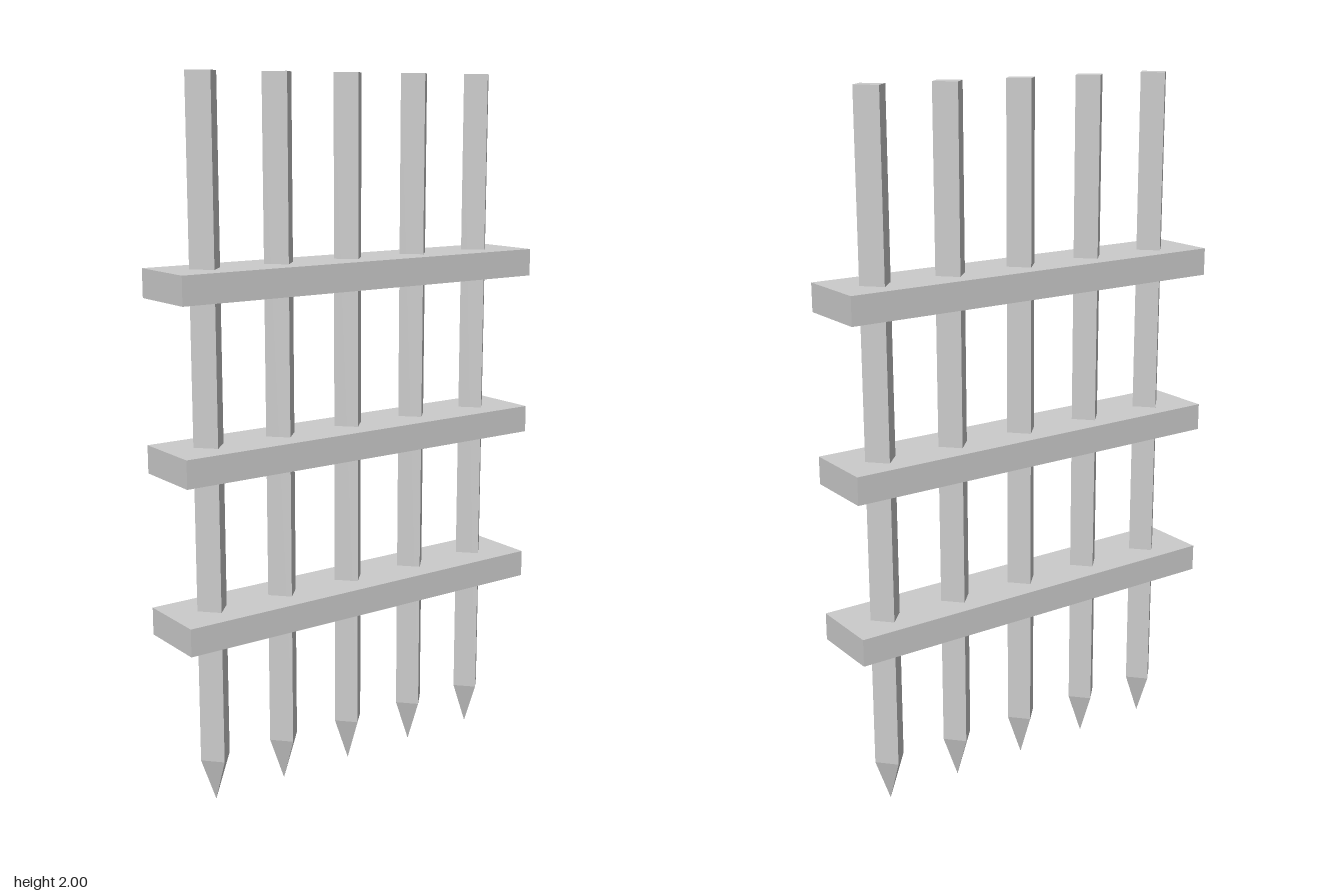
import * as THREE from 'three';

export function createModel() {
  const model = new THREE.Group();
  model.name = 'spikedGrate';
  const material = new THREE.MeshStandardMaterial({ color: 0xcccccc, flatShading: true });

  // Vertical bars: four-sided, corner facing forward, pointed at the foot
  const profile = [[0, 0], [0.05, 0.13], [0.05, 2], [0, 2]].map(([r, y]) => new THREE.Vector2(r, y));
  const barGeometry = new THREE.LatheGeometry(profile, 4).toNonIndexed();
  barGeometry.scale(1, 1, 0.93);
  barGeometry.computeVertexNormals();
  for (let i = -2; i <= 2; i++) {
    const bar = new THREE.Mesh(barGeometry, material);
    bar.name = `spikedBar${i + 3}`;
    bar.position.set(-0.007, 0, i * 0.229 - 0.003);
    model.add(bar);
  }

  // Flat horizontal crossbars the bars pass through
  const crossbarGeometry = new THREE.BoxGeometry(0.21, 0.078, 1.172);
  [0.53, 0.988, 1.461].forEach((y, i) => {
    const crossbar = new THREE.Mesh(crossbarGeometry, material);
    crossbar.name = `crossbar${i + 1}`;
    crossbar.position.y = y;
    model.add(crossbar);
  });

  return model;
}
